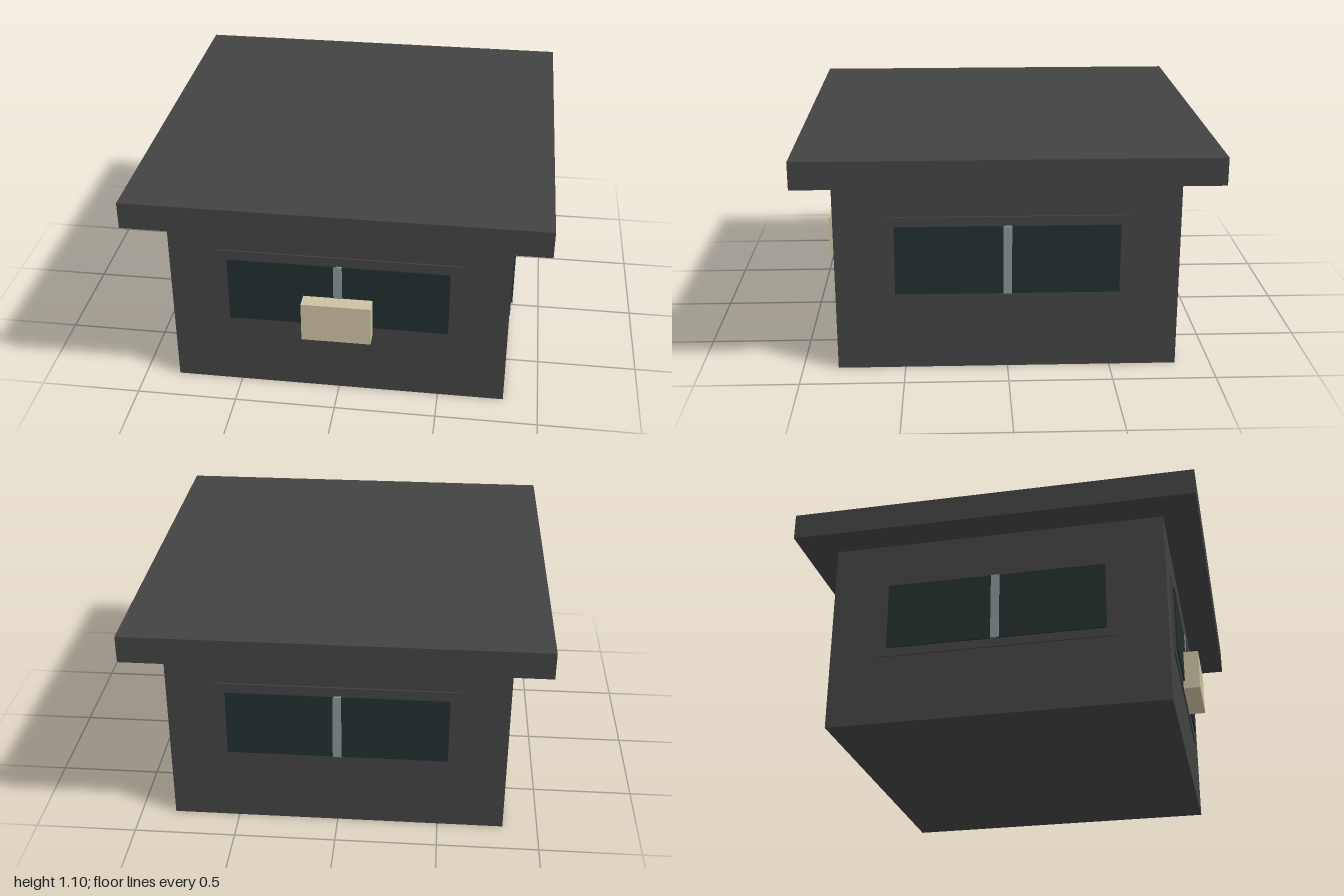
import * as THREE from 'three';

const mat = (name, color) => {
  const m = new THREE.MeshStandardMaterial({ color });
  m.name = name;
  return m;
};

export function createModel() {
  const charcoal = mat('charcoal', 0x424242);
  const glass = mat('dark glass', 0x222e2e);
  const metal = mat('grey metal', 0x879293);
  const cream = mat('cream', 0xcbc1a1);

  const model = new THREE.Group();
  model.name = 'guardBooth';

  // Box given by its lower and upper corners
  const box = (parent, name, material, [x0, y0, z0], [x1, y1, z1]) => {
    const mesh = new THREE.Mesh(new THREE.BoxGeometry(x1 - x0, y1 - y0, z1 - z0), material);
    mesh.position.set((x0 + x1) / 2, (y0 + y1) / 2, (z0 + z1) / 2);
    mesh.name = name;
    parent.add(mesh);
  };

  // Walls and overhanging flat roof
  const wall = 0.828;
  box(model, 'walls', charcoal, [-wall, 0, -wall], [wall, 0.97, wall]);
  box(model, 'roof', charcoal, [-1, 0.97, -1], [1, 1.103, 1]);

  // One window on each side: frame, pane and central mullion
  ['front', 'left', 'back', 'right'].forEach((side, i) => {
    const win = new THREE.Group();
    win.name = side + 'Window';
    win.rotation.y = i * Math.PI / 2;
    box(win, 'windowFrame', charcoal, [-0.587, 0.347, wall - 0.01], [0.587, 0.777, 0.836]);
    box(win, 'windowPane', glass, [-0.54, 0.39, wall], [0.54, 0.731, 0.844]);
    box(win, 'windowMullion', metal, [-0.021, 0.39, wall], [0.021, 0.731, 0.848]);
    model.add(win);
  });

  // Counter box below the front window
  box(model, 'counterBox', cream, [-0.17, 0.347, wall], [0.17, 0.553, 0.92]);

  return model;
}
